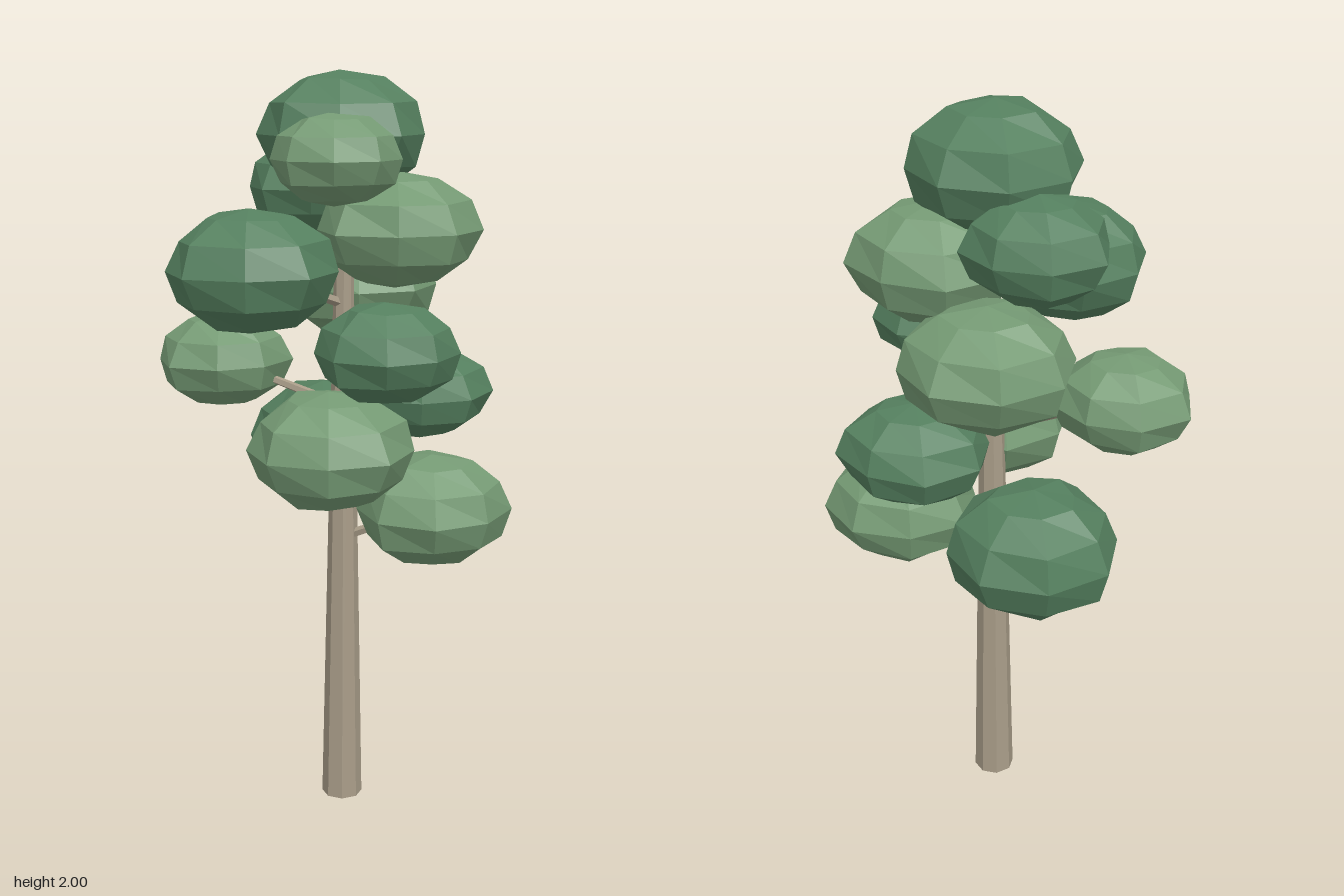
import * as THREE from 'three';

const TRUNK_X = 0.012, TRUNK_Z = -0.045, TRUNK_H = 1.75;
const bark = new THREE.MeshStandardMaterial({ color: 0xa89c88, flatShading: true });
const darkLeaf = new THREE.MeshStandardMaterial({ color: 0x55805f, flatShading: true });
const lightLeaf = new THREE.MeshStandardMaterial({ color: 0x759a74, flatShading: true });

// Clumps from top to bottom: x, y, z, radius, half height
const clumps = [
  [-0.005, 1.84, -0.045, 0.217, 0.16],
  [0.1, 1.785, 0.08, 0.165, 0.115],
  [-0.19, 1.695, -0.125, 0.18, 0.13],
  [0.12, 1.6, -0.125, 0.215, 0.15],
  [-0.01, 1.515, 0.265, 0.215, 0.155],
  [-0.13, 1.425, -0.245, 0.217, 0.15],
  [0.3, 1.33, 0.105, 0.18, 0.125],
  [-0.295, 1.238, 0.115, 0.182, 0.128],
  [0.075, 1.148, -0.275, 0.195, 0.128],
  [0.137, 1.062, 0.135, 0.214, 0.153],
  [-0.268, 0.967, -0.245, 0.215, 0.162],
  [0.245, 0.873, -0.14, 0.207, 0.148],
];
const darkOnes = [0, 2, 4, 6, 8, 10];

// Radius factor for each of the eight directions, starting at -x and turning to +z
const bulge = [1.04, 0.96, 1.0, 0.96, 0.97, 1.04, 1.0, 1.04];

// A squashed, slightly uneven eight-sided ball
function clumpGeometry(r, ry, index) {
  const g = new THREE.SphereGeometry(1, 8, 6);
  const p = g.attributes.position;
  for (let i = 0; i < p.count; i++) {
    const row = Math.floor(i / 9), side = (i % 9) % 8;
    const pole = row === 0 || row === 6;
    const wobble = pole ? 1 : bulge[side] + 0.03 * Math.sin(side * 2.3 + row * 1.9 + index * 1.3);
    p.setXYZ(i, p.getX(i) * r * wobble, p.getY(i) * ry * (pole ? 1 : 1 + (wobble - 1) * 0.5), p.getZ(i) * r * wobble);
  }
  g.computeVertexNormals();
  return g;
}

// Tapered five-sided stick between two points
function stick(from, to, r0, r1) {
  const dir = to.clone().sub(from);
  const mesh = new THREE.Mesh(new THREE.CylinderGeometry(r1, r0, dir.length(), 5), bark);
  mesh.position.copy(from).addScaledVector(dir, 0.5);
  mesh.quaternion.setFromUnitVectors(new THREE.Vector3(0, 1, 0), dir.normalize());
  return mesh;
}

export function createModel() {
  const tree = new THREE.Group();
  tree.name = 'tree';

  // Trunk
  const trunk = new THREE.Mesh(new THREE.CylinderGeometry(0.021, 0.056, TRUNK_H, 8), bark);
  trunk.name = 'trunk';
  trunk.position.set(TRUNK_X, TRUNK_H / 2, TRUNK_Z);
  tree.add(trunk);

  // Foliage clumps, each carried by a branch from the trunk
  clumps.forEach(([x, y, z, r, ry], i) => {
    const clump = new THREE.Mesh(clumpGeometry(r, ry, i), darkOnes.includes(i) ? darkLeaf : lightLeaf);
    clump.name = `foliageClump${i + 1}`;
    clump.position.set(x, y, z);
    tree.add(clump);
    if (i === 0) return;
    const branch = stick(new THREE.Vector3(TRUNK_X, y - 0.11, TRUNK_Z), new THREE.Vector3(x, y, z), 0.014, 0.009);
    branch.name = `branch${i}`;
    tree.add(branch);
  });
  return tree;
}
